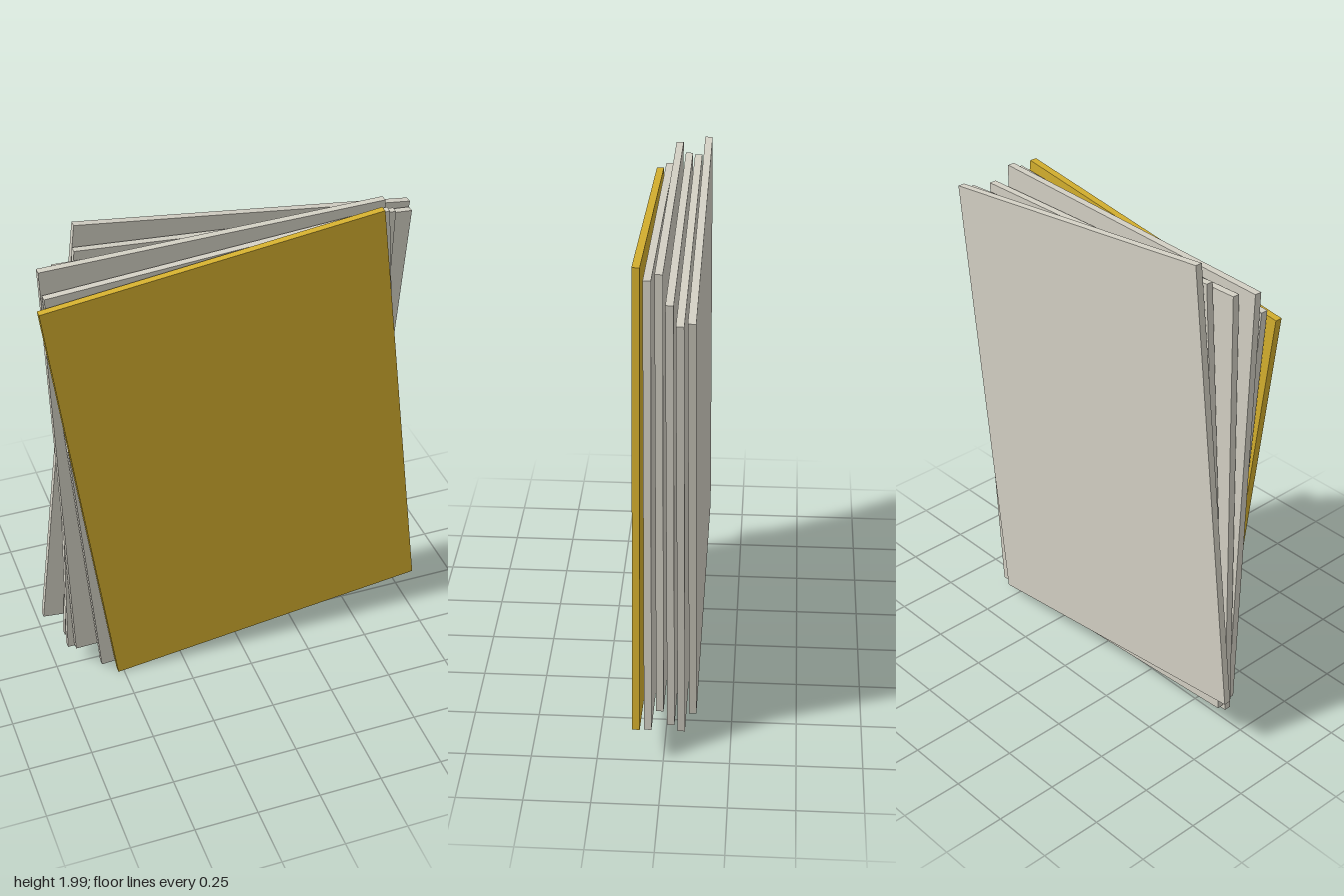
import * as THREE from 'three';

// Fanned stack of thin sheets, the front one gold
export function createModel() {
  const group = new THREE.Group();
  group.name = 'sheetStack';

  const sheetGeometry = new THREE.BoxGeometry(1.3, 1.8, 0.028);
  const paper = new THREE.MeshStandardMaterial({ color: 0xd3d0c4 });
  const gold = new THREE.MeshStandardMaterial({ color: 0xd4af2e });

  // Sheet centres (x, y), from back to front
  const centres = [
    [-0.015, 1.027], [0.017, 0.975], [-0.025, 0.977],
    [-0.045, 1.028], [0.002, 0.975], [0.012, 0.978],
  ];

  // Each sheet sits a step further forward and is turned a little more
  centres.forEach(([x, y], i) => {
    const step = i - 2.5;
    const isCover = i === centres.length - 1;
    const sheet = new THREE.Mesh(sheetGeometry, isCover ? gold : paper);
    sheet.name = isCover ? 'goldCover' : `sheet${i + 1}`;
    sheet.position.set(x, y, step * 0.04);
    sheet.rotation.z = THREE.MathUtils.degToRad(step * 2.8);
    group.add(sheet);
  });

  return group;
}
